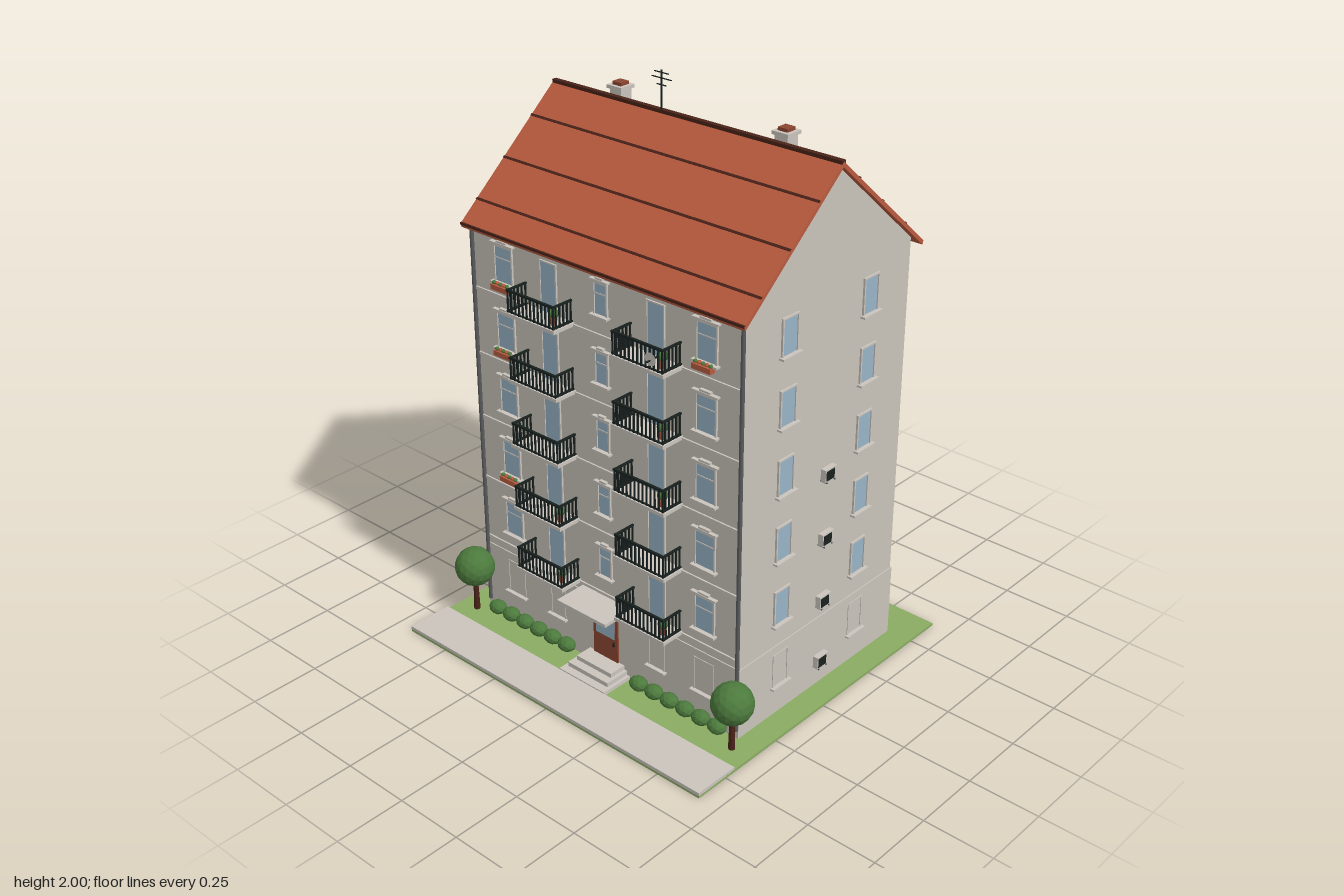
import * as THREE from 'three';
import { mergeGeometries } from 'three/addons/utils/BufferGeometryUtils.js';

const mat = (name, color, flatShading = false) => {
  const m = new THREE.MeshStandardMaterial({ color, flatShading });
  m.name = name;
  return m;
};

export function createModel() {
  const wall = mat('wall plaster', 0xc9c4ba);
  const stone = mat('pale stone', 0xcac4bd);
  const tile = mat('roof tile', 0xb95b3f);
  const seam = mat('dark roof seam', 0x4a2318);
  const glass = mat('window glass', 0x98b3c7);
  const iron = mat('black iron', 0x18211f);
  const zinc = mat('grey zinc', 0x5b5c5e);
  const wood = mat('red brown wood', 0x8c4630);
  const grass = mat('grass', 0x8aab62);
  const leaf = mat('foliage', 0x4c7a3d, true);

  const root = new THREE.Group();
  root.name = 'apartmentHouse';
  const FLOORS = [0, 1, 2, 3, 4], STEP = 0.239;

  const add = (parent, name, geo, material, x = 0, y = 0, z = 0) => {
    const m = new THREE.Mesh(geo, material);
    m.name = name;
    m.position.set(x, y, z);
    parent.add(m);
    return m;
  };
  const group = (parent, name, x = 0, y = 0, z = 0, ry = 0) => {
    const g = new THREE.Group();
    g.name = name;
    g.position.set(x, y, z);
    g.rotation.y = ry;
    parent.add(g);
    return g;
  };
  // box centred in x and z, standing on y
  const box = (parent, name, material, w, h, d, x, y, z) =>
    add(parent, name, new THREE.BoxGeometry(w, h, d), material, x, y + h / 2, z);
  const rod = (parent, name, material, r, h, x, y, z) =>
    add(parent, name, new THREE.CylinderGeometry(r, r, h, 8), material, x, y + h / 2, z);
  // profile of [z, y] points extruded across x
  const prism = (parent, name, material, pts, width) => {
    const shape = new THREE.Shape(pts.map(([z, y]) => new THREE.Vector2(z, y)));
    const geo = new THREE.ExtrudeGeometry(shape, { depth: width, bevelEnabled: false });
    geo.translate(0, 0, -width / 2).rotateY(-Math.PI / 2);
    return add(parent, name, geo, material);
  };

  // plot
  box(root, 'lawn', grass, 1.35, 0.01, 1.26, 0, 0, 0);
  box(root, 'pavement', stone, 1.35, 0.012, 0.17, 0, 0.008, 0.545);

  // house body and plinth
  prism(root, 'houseWalls', wall,
    [[0.33, 0.01], [0.33, 1.498], [-0.08, 1.85], [-0.48, 1.505], [-0.48, 0.01]], 1.16);
  box(root, 'plinth', wall, 1.168, 0.265, 0.818, 0, 0.01, -0.075);
  for (const k of FLOORS) box(root, 'stringCourse', stone, 1.16, 0.01, 0.008, 0, 0.3 + STEP * k, 0.332);

  // roof with seams, ridge and gutters
  const ridgeZ = -0.08, ridgeY = 1.868, slope = 0.86;
  const roofY = z => ridgeY - Math.abs(z - ridgeZ) * slope;
  prism(root, 'roof', tile, [[0.362, roofY(0.362)], [ridgeZ, ridgeY], [-0.522, roofY(-0.522)],
    [-0.518, roofY(-0.522) - 0.014], [ridgeZ, ridgeY - 0.018], [0.358, roofY(0.362) - 0.014]], 1.2);
  for (const z of [0.03, 0.16, 0.287, -0.165, -0.292, -0.42]) {
    const s = box(root, 'roofSeam', seam, 1.2, 0.004, 0.008, 0, roofY(z) - 0.001, z);
    s.rotation.x = Math.sign(z - ridgeZ) * Math.atan(slope);
  }
  box(root, 'ridgeCap', seam, 1.2, 0.012, 0.018, 0, ridgeY - 0.008, ridgeZ);
  box(root, 'gutter', seam, 1.2, 0.008, 0.008, 0, 1.484, 0.36);
  for (const s of [-1, 1]) rod(root, 'downpipe', zinc, 0.007, 1.45, s * 0.577, 0.04, 0.337);

  // chimneys
  for (const s of [-1, 1]) {
    const c = group(root, 'chimney', s * 0.344, 0, -0.13);
    box(c, 'chimneyStack', stone, 0.05, 0.14, 0.05, 0, 1.745, 0);
    box(c, 'chimneyCap', stone, 0.064, 0.012, 0.064, 0, 1.882, 0);
    box(c, 'chimneyPot', wood, 0.038, 0.012, 0.038, 0, 1.893, 0);
  }

  // aerial
  const aerial = group(root, 'aerial', -0.115, 0, -0.076);
  rod(aerial, 'aerialMast', iron, 0.003, 0.14, 0, 1.86, 0);
  for (const [w, y] of [[0.085, 1.972], [0.06, 1.99], [0.04, 1.95]])
    box(aerial, 'aerialBar', iron, w, 0.003, 0.003, 0, y, 0);

  // window facing +z with its bottom centre at the origin
  const makeWindow = (name, x, y, z, ry, w, h, ornate) => {
    const g = group(root, name, x, y, z, ry);
    box(g, 'pane', glass, w, h, 0.006, 0, 0, 0);
    for (const s of [-1, 1]) box(g, 'jamb', stone, 0.006, h, 0.014, s * (w / 2 + 0.003), 0, 0);
    box(g, 'head', stone, w + 0.012, 0.006, 0.014, 0, h, 0);
    box(g, 'sill', stone, w + 0.028, 0.007, 0.03, 0, -0.007, 0.004);
    if (ornate) {
      box(g, 'transom', stone, w, 0.004, 0.01, 0, h * 0.66, 0);
      box(g, 'cornice', stone, w + 0.03, 0.006, 0.024, 0, h + 0.01, 0.002);
      box(g, 'cornicePeak', stone, w * 0.6, 0.007, 0.02, 0, h + 0.016, 0.002);
    }
  };
  // blind opening in the plinth: slim surround with a sill
  const makeBlind = (x, z, ry, w) => {
    const g = group(root, 'blindWindow', x, 0.12, z, ry);
    for (const s of [-1, 1]) box(g, 'jamb', stone, 0.005, 0.12, 0.013, s * (w / 2 + 0.003), 0, 0);
    box(g, 'head', stone, w + 0.012, 0.005, 0.013, 0, 0.12, 0);
    box(g, 'sill', stone, w + 0.028, 0.006, 0.03, 0, -0.006, 0.004);
  };
  const backX = [-0.464, -0.232, 0, 0.232, 0.464], sideZ = [0.127, -0.275];
  for (const k of FLOORS) {
    const y = 0.36 + STEP * k;
    for (const s of [-1, 1]) {
      makeWindow('frontWindow', s * 0.435, y, 0.33, 0, 0.074, 0.122, true);
      for (const z of sideZ) makeWindow('sideWindow', s * 0.58, y, z, s * Math.PI / 2, 0.066, 0.12, false);
    }
    makeWindow('stairWindow', 0, y + 0.018, 0.33, 0, 0.048, 0.104, true);
    for (const x of backX) makeWindow('backWindow', x, y, -0.48, Math.PI, 0.07, 0.12, false);
  }
  for (const s of [-1, 1]) {
    makeBlind(s * 0.435, 0.33, 0, 0.074);
    makeBlind(s * 0.23, 0.33, 0, 0.06);
    for (const z of sideZ) makeBlind(s * 0.58, z, s * Math.PI / 2, 0.066);
  }
  for (const x of backX) makeBlind(x, -0.48, Math.PI, 0.07);

  // one railing, shared by every balcony
  const bars = [];
  const bar = (w, h, d, x, y, z) => bars.push(new THREE.BoxGeometry(w, h, d).translate(x, y + h / 2, z));
  for (let i = 0; i <= 12; i++) bar(0.005, 0.08, 0.005, -0.102 + i * 0.017, 0, 0.415);
  for (const s of [-1, 1]) {
    for (let i = 0; i < 5; i++) bar(0.005, 0.08, 0.005, s * 0.102, 0, 0.337 + i * 0.0165);
    for (const y of [0.006, 0.078]) bar(0.008, 0.006, 0.085, s * 0.102, y, 0.375);
  }
  bar(0.212, 0.007, 0.009, 0, 0.078, 0.415);
  bar(0.212, 0.004, 0.006, 0, 0.006, 0.415);
  const railing = mergeGeometries(bars);

  // balconies, glazed doors and potted plants
  const potted = { '-1': [0, 1, 4], '1': [0, 2, 3, 4] };
  for (const s of [-1, 1]) for (const k of FLOORS) {
    const b = group(root, 'balcony', s * 0.23, 0.302 + STEP * k, 0);
    box(b, 'balconySlab', stone, 0.22, 0.012, 0.095, 0, 0, 0.374);
    box(b, 'balconyDoor', glass, 0.066, 0.172, 0.006, 0, 0.012, 0.33);
    for (const e of [-1, 1]) box(b, 'doorJamb', stone, 0.005, 0.172, 0.012, e * 0.0355, 0.012, 0.33);
    box(b, 'doorHead', stone, 0.076, 0.005, 0.012, 0, 0.184, 0.33);
    add(b, 'railing', railing, iron, 0, 0.008, 0);
    if (potted[s].includes(k)) {
      add(b, 'plantPot', new THREE.CylinderGeometry(0.013, 0.009, 0.028, 8), tile, 0.075, 0.026, 0.386);
      add(b, 'plant', new THREE.IcosahedronGeometry(0.018, 1), leaf, 0.075, 0.053, 0.386);
    }
  }

  // flower boxes
  for (const [s, k] of [[-1, 1], [-1, 3], [-1, 4], [1, 4]]) {
    const f = group(root, 'flowerBox', s * 0.435, 0.337 + STEP * k, 0.35);
    box(f, 'planter', tile, 0.074, 0.018, 0.022, 0, 0, 0);
    for (let i = -2; i <= 2; i++)
      add(f, 'flower', new THREE.IcosahedronGeometry(0.008, 0), i % 2 ? tile : leaf, i * 0.015, 0.022, 0);
  }

  // satellite dish
  const dish = group(root, 'satelliteDish', 0.313, 1.325, 0.44);
  const bowl = add(dish, 'dishBowl', new THREE.CylinderGeometry(0.022, 0.01, 0.007, 16), stone, 0, 0, 0.004);
  bowl.rotation.x = Math.PI / 2;
  box(dish, 'dishArm', iron, 0.005, 0.005, 0.028, 0, -0.005, -0.012);
  box(dish, 'dishFeed', iron, 0.004, 0.004, 0.018, 0, -0.006, 0.014);

  // air conditioners
  for (const [s, ys] of [[1, [0.11, 0.349, 0.588, 0.827]], [-1, [0.588, 1.066]]]) for (const y of ys) {
    const a = group(root, 'airConditioner', s * 0.58, y, -0.077, s * Math.PI / 2);
    box(a, 'conditionerCase', stone, 0.058, 0.044, 0.02, 0, -0.022, 0.017);
    box(a, 'conditionerGrille', iron, 0.04, 0.034, 0.004, -0.005, -0.017, 0.027);
    for (const e of [-1, 1]) box(a, 'bracket', zinc, 0.004, 0.005, 0.028, e * 0.02, -0.028, 0.014);
  }

  // entrance
  const entry = group(root, 'entrance');
  box(entry, 'door', wood, 0.112, 0.2, 0.014, 0, 0.055, 0.333);
  box(entry, 'doorGlass', glass, 0.086, 0.095, 0.006, 0, 0.145, 0.339);
  box(entry, 'doorHandle', iron, 0.005, 0.016, 0.008, 0.04, 0.118, 0.342);
  box(entry, 'canopy', stone, 0.222, 0.012, 0.125, 0, 0.284, 0.3925);
  for (let i = 0; i < 3; i++)
    box(entry, 'step', stone, 0.21 - i * 0.025, 0.016, 0.13 - i * 0.03, 0, 0.008 + i * 0.016, 0.395 - i * 0.015);
  for (const s of [-1, 1]) {
    box(entry, 'lampBase', iron, 0.012, 0.026, 0.012, s * 0.09, 0.232, 0.338);
    box(entry, 'lampShade', grass, 0.009, 0.016, 0.006, s * 0.09, 0.237, 0.345);
  }

  // hedge and trees
  for (const s of [-1, 1]) {
    for (let i = 0; i < 6; i++)
      add(root, 'bush', new THREE.IcosahedronGeometry(0.036, 1), leaf, s * (0.17 + i * 0.069), 0.04, 0.36)
        .scale.set(1, 0.72, 0.8);
    const t = group(root, 'tree', s * 0.6, 0, 0.385);
    add(t, 'trunk', new THREE.CylinderGeometry(0.008, 0.012, 0.14, 7), seam, 0, 0.075, 0);
    add(t, 'crown', new THREE.IcosahedronGeometry(0.072, 2), leaf, 0, 0.187, 0);
  }
  return root;
}
